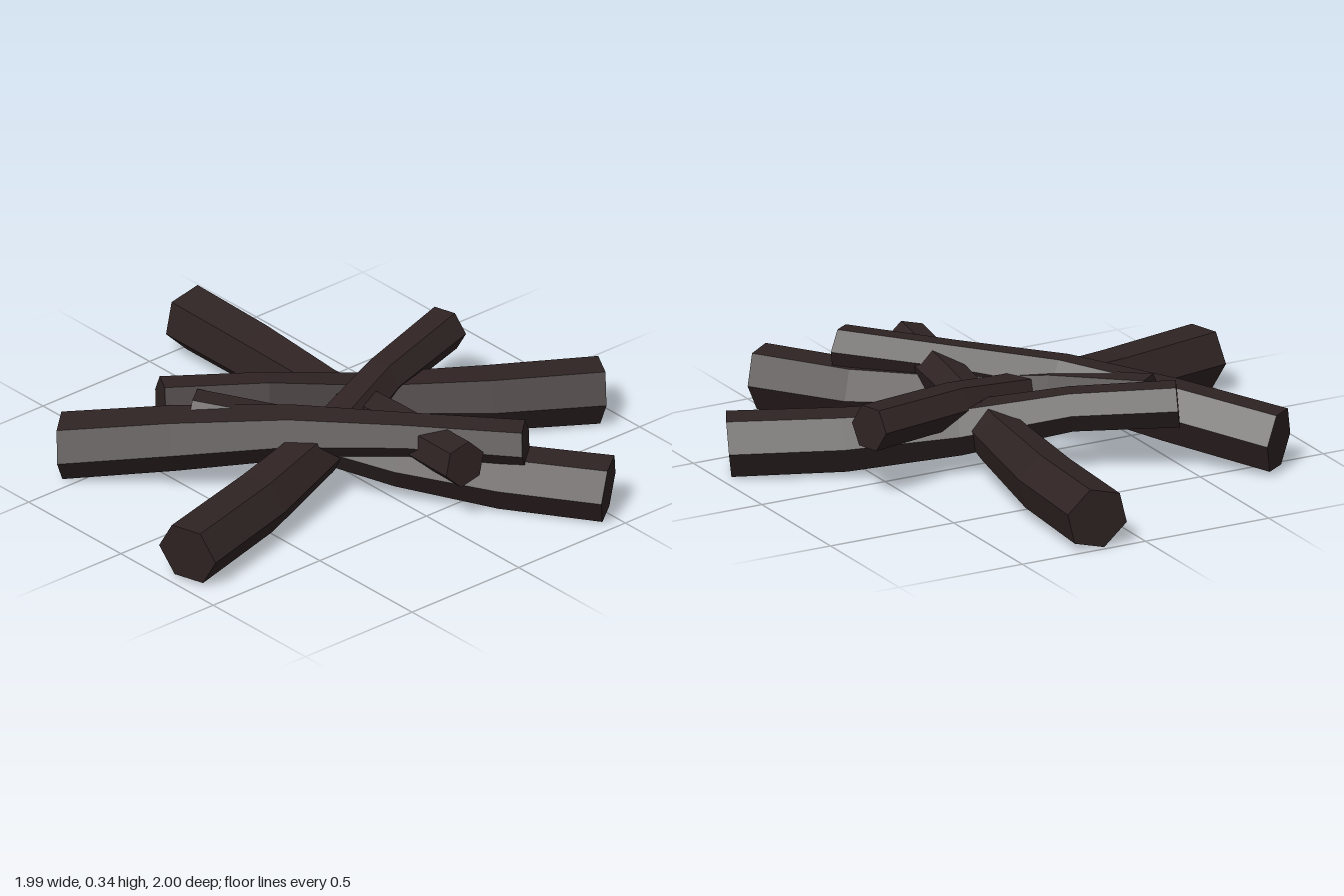
import * as THREE from 'three';

const SIDES = 6;
const RADII = [0.12, 0.117, 0.098, 0.082, 0.086];

// Hexagonal tapered log through five centre points, capped at both ends.
function logGeometry(points, roll) {
  const pts = points.map((p) => new THREE.Vector3(...p));
  const dir = pts[4].clone().sub(pts[0]).normalize();
  const side = new THREE.Vector3(0, 1, 0).cross(dir).normalize();
  const up = dir.clone().cross(side);
  const rings = pts.map((c, i) => Array.from({ length: SIDES }, (_, j) => {
    const a = roll + (j / SIDES) * Math.PI * 2;
    return c.clone()
      .addScaledVector(side, RADII[i] * Math.cos(a))
      .addScaledVector(up, RADII[i] * Math.sin(a));
  }));

  const pos = [];
  const tri = (...v) => v.forEach((p) => pos.push(p.x, p.y, p.z));
  const last = rings.length - 1;
  for (let j = 0; j < SIDES; j++) {
    const k = (j + 1) % SIDES;
    for (let i = 0; i < last; i++) {
      tri(rings[i][j], rings[i][k], rings[i + 1][k]);
      tri(rings[i][j], rings[i + 1][k], rings[i + 1][j]);
    }
    tri(pts[0], rings[0][k], rings[0][j]);
    tri(pts[last], rings[last][j], rings[last][k]);
  }
  const geo = new THREE.BufferGeometry();
  geo.setAttribute('position', new THREE.Float32BufferAttribute(pos, 3));
  geo.computeVertexNormals();
  return geo;
}

// Centre lines run from the thick end on the ground to the thin raised end.
const LOGS = [
  { name: 'backLog', roll: 0.26, points: [
    [0.19, 0.116, -0.99], [0.175, 0.125, -0.6], [0.135, 0.155, -0.18], [0.095, 0.22, 0.23], [0.055, 0.25, 0.645]] },
  { name: 'leftLog', roll: 0, points: [
    [0.94, 0.11, 0.35], [0.58, 0.125, 0.155], [0.22, 0.165, -0.04], [-0.13, 0.235, -0.225], [-0.46, 0.255, -0.41]] },
  { name: 'frontLog', roll: 0, points: [
    [0.49, 0.11, 0.92], [0.27, 0.11, 0.61], [0.03, 0.145, 0.32], [-0.2, 0.215, 0.02], [-0.42, 0.245, -0.28]] },
  { name: 'rightLog', roll: 0, points: [
    [-0.965, 0.12, 0.32], [-0.545, 0.13, 0.215], [-0.16, 0.17, 0.11], [0.235, 0.25, -0.02], [0.64, 0.268, -0.135]] },
  { name: 'backRightLog', roll: 0.1, points: [
    [-0.775, 0.116, -0.58], [-0.51, 0.18, -0.27], [-0.24, 0.24, 0.05], [0.03, 0.258, 0.36], [0.305, 0.26, 0.685]] },
];

export function createModel() {
  const group = new THREE.Group();
  group.name = 'logPile';
  const wood = new THREE.MeshStandardMaterial({ color: 0x2f2323 });
  wood.name = 'dark wood';
  wood.flatShading = true;
  for (const { name, roll, points } of LOGS) {
    const mesh = new THREE.Mesh(logGeometry(points, roll), wood);
    mesh.name = name;
    group.add(mesh);
  }
  return group;
}
